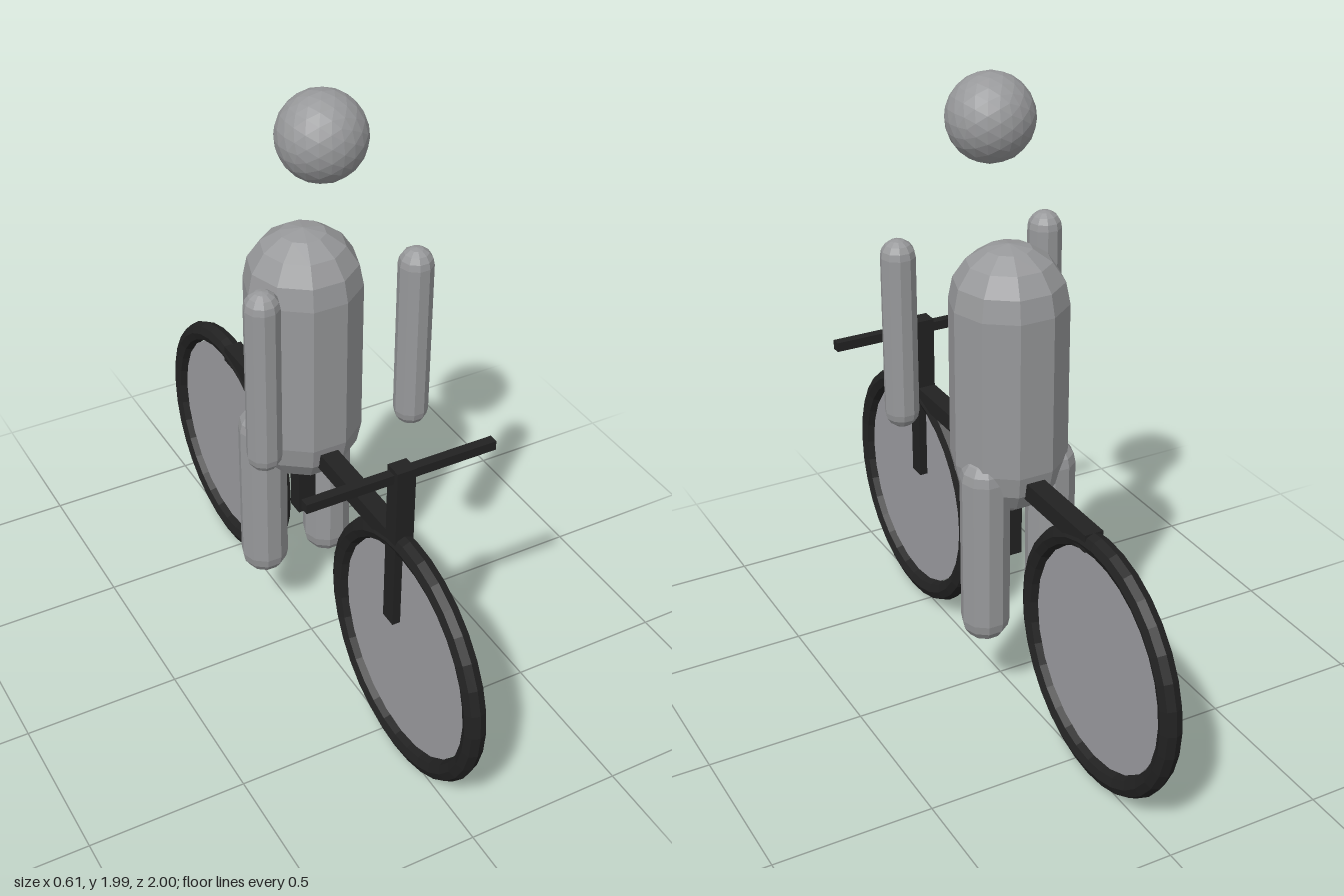
import * as THREE from 'three';

export function createModel() {
  const group = new THREE.Group();

  const riderGrey = new THREE.MeshStandardMaterial({ color: 0x98999b, flatShading: true });
  riderGrey.name = 'rider grey';
  const discGrey = new THREE.MeshStandardMaterial({ color: 0x9c9ca0, flatShading: true });
  discGrey.name = 'wheel disc grey';
  const black = new THREE.MeshStandardMaterial({ color: 0x222222, flatShading: true });
  black.name = 'frame black';

  function add(name, geometry, material, x, y, z) {
    const mesh = new THREE.Mesh(geometry, material);
    mesh.name = name;
    mesh.position.set(x, y, z);
    group.add(mesh);
    return mesh;
  }

  // Upright ten-sided capsule given its bottom and top heights
  function capsule(name, radius, bottom, top, x, z) {
    const geometry = new THREE.CapsuleGeometry(radius, top - bottom - 2 * radius, 4, 10);
    return add(name, geometry, riderGrey, x, (top + bottom) / 2, z);
  }

  // Wheels: tyre ring and thin disc
  for (const [name, z] of [['front', 0.589], ['rear', -0.589]]) {
    const tyre = add(name + 'Tyre', new THREE.TorusGeometry(0.377, 0.034, 8, 32), black, 0, 0.411, z);
    tyre.rotation.y = Math.PI / 2;
    const disc = add(name + 'WheelDisc', new THREE.CylinderGeometry(0.343, 0.343, 0.008, 24), discGrey, 0, 0.411, z);
    disc.rotation.z = Math.PI / 2;
  }

  // Frame
  add('topBar', new THREE.BoxGeometry(0.06, 0.056, 1.1), black, 0, 0.789, 0);
  add('steeringPost', new THREE.BoxGeometry(0.06, 0.56, 0.055), black, 0, 0.772, 0.532);
  add('seatPost', new THREE.BoxGeometry(0.06, 0.45, 0.055), black, 0, 0.717, -0.055);
  add('handlebar', new THREE.BoxGeometry(0.61, 0.03, 0.03), black, 0, 1.022, 0.527);

  // Rider
  capsule('torso', 0.179, 0.66, 1.515, 0, -0.052);
  add('head', new THREE.IcosahedronGeometry(0.131, 3), riderGrey, 0, 1.857, 0.058);
  for (const [side, s] of [['left', 1], ['right', -1]]) {
    capsule(side + 'Arm', 0.053, 0.89, 1.497, s * 0.246, 0.171);
    capsule(side + 'Leg', 0.076, 0.245, 0.885, s * 0.113, -0.11);
  }

  return group;
}
